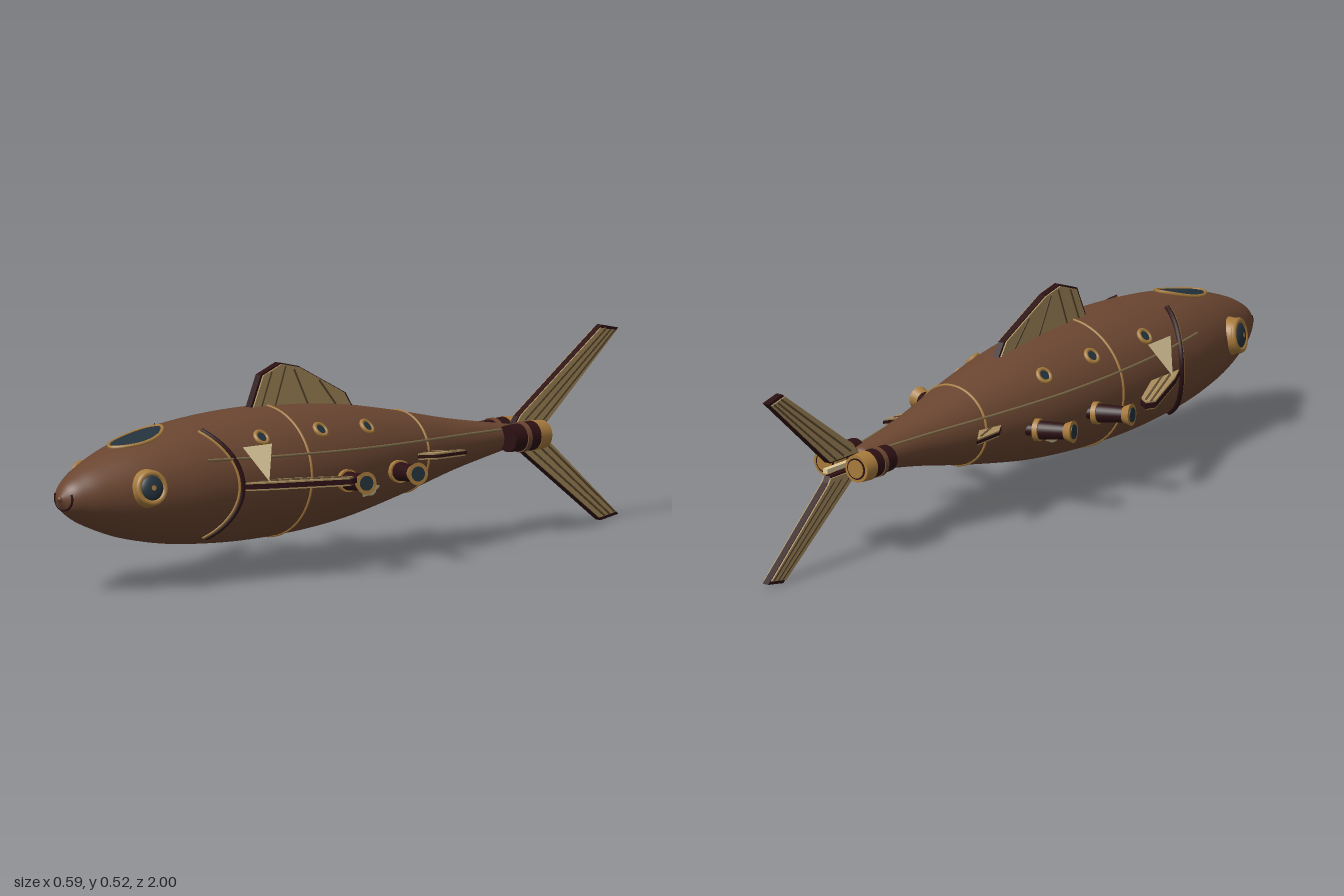
import * as THREE from 'three';

const mat = (name, color, side = THREE.FrontSide) => {
  const m = new THREE.MeshStandardMaterial({ color, side });
  m.name = name;
  return m;
};

// Hull profile as (radius, z) from tail to nose
const profile = new THREE.SplineCurve([
  [0.03, -0.62], [0.068, -0.4], [0.112, -0.2], [0.15, 0], [0.167, 0.15], [0.174, 0.3], [0.172, 0.45],
  [0.16, 0.6], [0.144, 0.7], [0.12, 0.8], [0.083, 0.9], [0.057, 0.95], [0.034, 0.98], [0, 1],
].map(p => new THREE.Vector2(...p))).getPoints(90);
profile[profile.length - 1].x = 0;
const CY = 0.253, SY = 0.965;

function radiusAt(z) {
  for (let i = 1; i < profile.length; i++) {
    const a = profile[i - 1], b = profile[i];
    if (z <= b.y) return a.x + (b.x - a.x) * Math.max(0, (z - a.y) / (b.y - a.y));
  }
  return 0;
}
// Point on the hull at angle a around z, lifted by o
function onHull(a, z, o = 0) {
  const r = radiusAt(z) + o;
  return new THREE.Vector3(r * Math.cos(a), CY + SY * r * Math.sin(a), z);
}

export function createModel() {
  const model = new THREE.Group();
  model.name = 'fishSubmarine';
  const M = {
    hull: mat('hull brown', 0x6b4631),
    brass: mat('brass', 0xa67a3c),
    maroon: mat('dark maroon', 0x2c1013),
    canvas: mat('fin canvas', 0xa98d5e, THREE.DoubleSide),
    glass: mat('dark glass', 0x24323c, THREE.DoubleSide),
    cream: mat('cream', 0xdfcb9c, THREE.DoubleSide),
    rib: mat('rib brown', 0x5e4a30),
    rope: mat('rope', 0x7d6a48),
  };
  const add = (name, geo, m, parent = model) => {
    const mesh = new THREE.Mesh(geo, m);
    mesh.name = name;
    parent.add(mesh);
    return mesh;
  };
  const tube = (name, pts, r, m, closed = false) =>
    add(name, new THREE.TubeGeometry(new THREE.CatmullRomCurve3(pts, closed), pts.length * 2, r, 6, closed), m);

  // Flat plate from an outline, standing in the zy plane or lying in the xz plane
  function plate(name, pts, thick, m, lying, y = 0) {
    const g = new THREE.ExtrudeGeometry(new THREE.Shape(pts.map(p => new THREE.Vector2(...p))),
      { depth: thick, bevelEnabled: false });
    g.translate(0, 0, -thick / 2);
    if (lying) g.rotateX(Math.PI / 2).translate(0, y, 0);
    else g.rotateY(-Math.PI / 2);
    return add(name, g, m);
  }
  // Fin: dark core, raised canvas panels and ribs given as point pairs
  function fin(name, pts, ribs, lying = false, y = 0, t = 0.018) {
    const cx = pts.reduce((s, p) => s + p[0], 0) / pts.length;
    const cy = pts.reduce((s, p) => s + p[1], 0) / pts.length;
    plate(name + 'Frame', pts, t, M.maroon, lying, y);
    plate(name + 'Canvas', pts.map(p => [cx + (p[0] - cx) * 0.95, cy + (p[1] - cy) * 0.95]),
      t + 0.008, M.canvas, lying, y);
    for (const [a, b] of ribs) {
      const dx = b[0] - a[0], dy = b[1] - a[1], k = 0.0025 / Math.hypot(dx, dy);
      plate(name + 'Rib', [[a[0] - dy * k, a[1] + dx * k], [a[0] + dy * k, a[1] - dx * k],
        [b[0] + dy * k, b[1] - dx * k], [b[0] - dy * k, b[1] + dx * k]], t + 0.011, M.rib, lying, y);
    }
  }
  // Patch draped over the hull; outline returns [arc offset, z offset]
  function patch(name, a0, z0, outline, o, m) {
    const N = 40, K = 6, pos = [], idx = [];
    for (let k = 0; k <= K; k++) for (let i = 0; i <= N; i++) {
      const [u, v] = outline(i / N * Math.PI * 2), f = k / K;
      pos.push(...onHull(a0 + u * f / radiusAt(z0 + v * f), z0 + v * f, o).toArray());
      if (k < K && i < N) {
        const p = k * (N + 1) + i, q = p + N + 1;
        idx.push(p, q, p + 1, p + 1, q, q + 1);
      }
    }
    const g = new THREE.BufferGeometry();
    g.setAttribute('position', new THREE.Float32BufferAttribute(pos, 3));
    g.setIndex(idx);
    g.computeVertexNormals();
    return add(name, g, m);
  }
  // Group sitting on the hull with +z along the surface normal
  function mount(name, a, z, o) {
    const g = new THREE.Group();
    g.name = name;
    g.position.copy(onHull(a, z, o));
    const slope = (radiusAt(z + 0.02) - radiusAt(z - 0.02)) / 0.04;
    const n = new THREE.Vector3(Math.cos(a), Math.sin(a), -slope).normalize();
    g.quaternion.setFromUnitVectors(new THREE.Vector3(0, 0, 1), n);
    model.add(g);
    return g;
  }

  // Hull and its brass bands
  const hull = new THREE.LatheGeometry([new THREE.Vector2(0, -0.62), ...profile], 64);
  add('hull', hull.rotateX(Math.PI / 2).scale(1, SY, 1).translate(0, CY, 0), M.hull);
  for (const z of [0.265, -0.22]) {
    const band = add('hullBand', new THREE.TorusGeometry(radiusAt(z), 0.004, 6, 64), M.brass);
    band.position.set(0, CY, z);
    band.scale.y = SY;
  }

  // Cockpit window on top of the head
  const oval = t => [0.05 * Math.sin(t) * Math.abs(Math.sin(t)) ** 0.3, 0.088 * Math.cos(t)];
  patch('cockpitGlass', Math.PI / 2, 0.725, oval, 0.003, M.glass);
  tube('cockpitFrame', Array.from({ length: 40 }, (_, i) => {
    const [u, v] = oval(i / 40 * Math.PI * 2);
    return onHull(Math.PI / 2 + u / radiusAt(0.725 + v), 0.725 + v, 0.002);
  }), 0.005, M.brass, true);

  // Mouth arc around the nose tip
  tube('mouth', Array.from({ length: 15 }, (_, i) =>
    onHull(Math.PI * (0.86 + i / 14 * 1.28), 0.983, 0.001)), 0.003, M.maroon);
  add('noseTip', new THREE.SphereGeometry(0.008, 12, 8), M.hull).position.set(0, CY, 0.996);

  // Dorsal and tail fins
  fin('dorsalFin', [[0.33, 0.4], [0.285, 0.5], [0.215, 0.525], [0.15, 0.51], [-0.02, 0.425], [-0.05, 0.38]],
    [[[0.29, 0.41], [0.25, 0.505]], [[0.24, 0.41], [0.2, 0.515]], [[0.12, 0.41], [0.17, 0.505]], [[0.02, 0.4], [0.08, 0.468]]]);
  fin('upperTailFin', [[-0.62, 0.275], [-0.64, 0.3], [-0.94, 0.505], [-0.998, 0.492], [-0.74, 0.275]],
    [[[-0.66, 0.29], [-0.95, 0.495]], [[-0.69, 0.285], [-0.965, 0.49]], [[-0.72, 0.28], [-0.98, 0.488]]]);
  fin('lowerTailFin', [[-0.62, 0.24], [-0.65, 0.213], [-0.935, 0.004], [-0.998, 0.014], [-0.75, 0.225], [-0.74, 0.24]],
    [[[-0.67, 0.22], [-0.945, 0.015]], [[-0.7, 0.225], [-0.962, 0.018]], [[-0.73, 0.225], [-0.98, 0.022]]]);
  add('tailSpar', new THREE.BoxGeometry(0.014, 0.012, 0.12), M.cream).position.set(0, 0.255, -0.69);

  for (const s of [1, -1]) {
    const A = a => (s > 0 ? a : Math.PI - a);
    const X = list => list.map(([x, z]) => [s * x, z]);

    // Eye
    const eye = mount('eye', A(0.17), 0.795, 0);
    add('eyeRim', new THREE.CylinderGeometry(0.043, 0.05, 0.026, 32).rotateX(Math.PI / 2), M.brass, eye);
    add('eyeRing', new THREE.TorusGeometry(0.038, 0.008, 8, 32), M.brass, eye).position.z = 0.013;
    const lens = add('eyeLens', new THREE.SphereGeometry(0.034, 24, 12), M.glass, eye);
    lens.scale.z = 0.4;
    lens.position.z = 0.012;
    add('eyePupil', new THREE.CircleGeometry(0.007, 12), M.brass, eye).position.z = 0.0265;

    // Portholes
    for (const z of [0.405, 0.19, 0.01]) {
      const port = mount('porthole', A(0.72), z, 0.002);
      add('portholeRing', new THREE.TorusGeometry(0.018, 0.006, 8, 24), M.brass, port);
      add('portholeGlass', new THREE.CircleGeometry(0.018, 24), M.glass, port).position.z = 0.003;
    }

    // Gill ridge with brass edge
    const gill = dz => Array.from({ length: 17 }, (_, i) => {
      const a = -1 + i / 16 * 2.08;
      return onHull(A(a), 0.51 + dz + 0.075 * Math.sin(a) ** 2, 0.001);
    });
    tube('gillRidge', gill(0), 0.008, M.maroon);
    tube('gillEdge', gill(0.009), 0.004, M.brass);

    // Rope along the flank
    tube('flankRope', Array.from({ length: 24 }, (_, i) => {
      const f = i / 23, z = 0.61 - 1.16 * f;
      return onHull(A(Math.asin((0.073 - 0.05 * f) / (SY * radiusAt(z)))), z, 0.004);
    }), 0.0035, M.rope);

    // Pectoral fin, its triangular stay and the small rear fin
    fin('pectoralFin', X([[0.13, 0.53], [0.16, 0.52], [0.205, 0.44], [0.295, 0.24], [0.283, 0.213], [0.25, 0.235], [0.15, 0.42]]),
      [[0.165, 0.48, 0.285, 0.235], [0.165, 0.44, 0.268, 0.235]].map(r => X([[r[0], r[1]], [r[2], r[3]]])), true, 0.251, 0.013);
    const stay = new THREE.BufferGeometry();
    stay.setAttribute('position', new THREE.Float32BufferAttribute(
      [s * 0.15, 0.35, 0.49, s * 0.155, 0.35, 0.39, s * 0.196, 0.262, 0.44], 3));
    stay.computeVertexNormals();
    add('finStay', stay, M.cream);
    fin('rearFin', X([[0.09, -0.17], [0.118, -0.17], [0.146, -0.215], [0.15, -0.315], [0.085, -0.22]]),
      [X([[0.11, -0.2], [0.14, -0.285]])], true, 0.255, 0.008);

    // Side engine pods pointing outward
    for (const [z0, x1] of [[0.142, 0.275], [-0.068, 0.25]]) {
      const pod = new THREE.Group();
      pod.name = 'enginePod';
      const from = new THREE.Vector3(s * (x1 - 0.1), 0.232, z0), to = new THREE.Vector3(s * x1, 0.238, z0 + 0.028);
      pod.position.copy(from);
      pod.quaternion.setFromUnitVectors(new THREE.Vector3(0, 1, 0), to.sub(from).normalize());
      model.add(pod);
      const ring = (name, r0, r1, h, y, m) =>
        add(name, new THREE.CylinderGeometry(r1, r0, h, 24), m, pod).position.y = y;
      ring('podMount', 0.016, 0.016, 0.08, -0.03, M.maroon);
      ring('podBody', 0.025, 0.02, 0.1, 0.05, M.maroon);
      ring('podCollar', 0.029, 0.029, 0.014, 0.006, M.brass);
      ring('podMuzzle', 0.021, 0.029, 0.022, 0.092, M.brass);
      ring('podLens', 0.019, 0.019, 0.004, 0.103, M.glass);
    }

    // Cream patch low on the flank
    patch('hullPatch', A(-0.42), 0.025, t => {
      const k = 1 + 0.14 * Math.sin(5 * t) + 0.08 * Math.cos(3 * t);
      return [0.018 * k * Math.sin(t), 0.034 * k * Math.cos(t)];
    }, 0.003, M.cream);

    // Stern thrusters
    const thruster = (name, r0, r1, len, z, m) =>
      add(name, new THREE.CylinderGeometry(r1, r0, len, 28).rotateX(Math.PI / 2), m).position.set(s * 0.05, 0.255, z);
    thruster('thrusterBody', 0.038, 0.034, 0.09, -0.603, M.maroon);
    thruster('thrusterBand', 0.039, 0.039, 0.014, -0.605, M.hull);
    thruster('thrusterNozzle', 0.036, 0.039, 0.04, -0.665, M.brass);
    thruster('thrusterOutlet', 0.028, 0.028, 0.004, -0.685, M.maroon);
    thruster('thrusterCore', 0.024, 0.024, 0.004, -0.687, M.brass);
  }
  return model;
}
